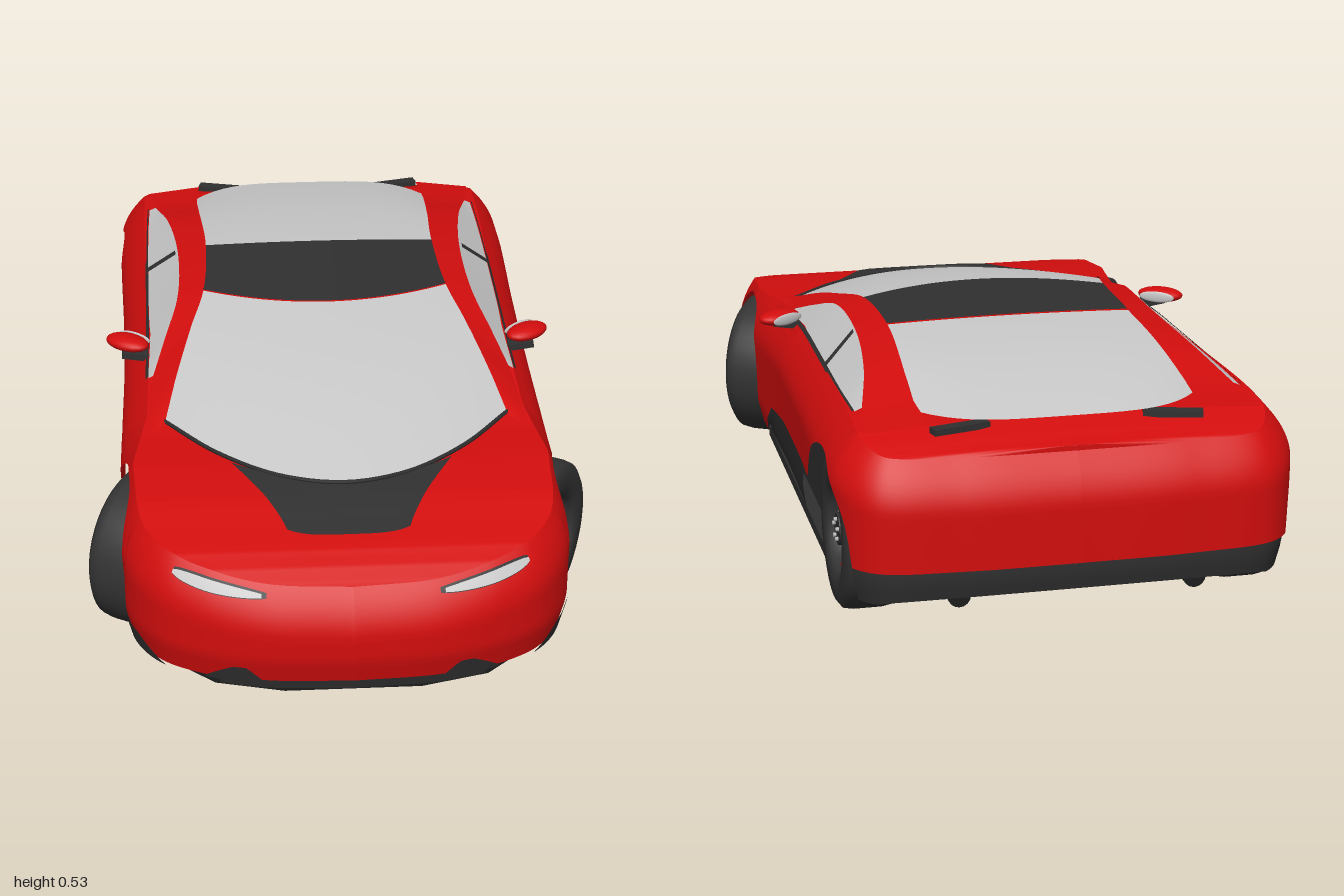
import * as THREE from 'three';

const mat = (name, color) => new THREE.MeshStandardMaterial({ name, color, side: THREE.DoubleSide });
const V = (p) => new THREE.Vector3(...p);
const clamp = (v) => Math.min(1, Math.max(0, v));

// Piecewise linear lookup; keys ascend
function table(t, z) {
  if (z <= t[0][0]) return t[0][1];
  for (let i = 1; i < t.length; i++) {
    if (z <= t[i][0]) {
      const k = (z - t[i - 1][0]) / (t[i][0] - t[i - 1][0]);
      return t[i - 1][1] + k * (t[i][1] - t[i - 1][1]);
    }
  }
  return t[t.length - 1][1];
}

// Surface from a function of two grid indices
function grid(nu, nv, fn, mirror = false) {
  const pos = [], idx = [];
  for (let i = 0; i <= nu; i++) for (let j = 0; j <= nv; j++) {
    const p = fn(i, j);
    pos.push(mirror ? -p[0] : p[0], p[1], p[2]);
  }
  for (let i = 0; i < nu; i++) for (let j = 0; j < nv; j++) {
    const a = i * (nv + 1) + j, b = a + nv + 1;
    if (mirror) idx.push(a, b + 1, b, a, a + 1, b + 1);
    else idx.push(a, b, b + 1, a, b + 1, a + 1);
  }
  const g = new THREE.BufferGeometry();
  g.setAttribute('position', new THREE.Float32BufferAttribute(pos, 3));
  g.setIndex(idx);
  g.computeVertexNormals();
  return g;
}

// Half outline of the body seen from above, rear centre to front centre
const plan = new THREE.CatmullRomCurve3([[0, -1], [0.25, -0.995], [0.44, -0.965], [0.505, -0.87], [0.515, -0.7],
  [0.505, -0.3], [0.5, 0], [0.505, 0.4], [0.505, 0.6], [0.49, 0.78], [0.43, 0.88], [0.34, 0.94], [0.2, 0.985], [0, 1]]
  .map(([x, z]) => new THREE.Vector3(x, 0, z)), false, 'centripetal');
const COLS = 260;
const columns = plan.getSpacedPoints(COLS).map((p, i) => {
  const t = plan.getTangentAt(i / COLS);
  return { x: p.x, z: p.z, nx: t.z, nz: -t.x };
});

const shoulder = (z) => table([[-1, 0.4], [-0.95, 0.41], [-0.85, 0.435], [-0.72, 0.445], [-0.3, 0.44], [0, 0.437], [0.17, 0.422],
  [0.3, 0.41], [0.45, 0.397], [0.57, 0.392], [0.7, 0.38], [0.8, 0.36], [0.9, 0.342], [0.95, 0.325], [1, 0.3]], z);
const tuck = (z) => table([[-1, 0.05], [-0.8, 0.065], [0.35, 0.065], [0.55, 0.035], [1, 0.05]], z);

// Point on the body side at height y, pushed out by off
function skin(c, y, off = 0) {
  const k = clamp(1 - (shoulder(c.z) - y) / 0.11);
  const d = off - tuck(c.z) * k ** 1.8 - 0.02 * clamp((0.14 - y) / 0.08);
  return [Math.max(0, c.x + c.nx * d), y, c.z + c.nz * d];
}

// Bottom edge of the red shell, with both wheel arches
function shellBottom(z) {
  const f = z - 0.57, r = z + 0.718;
  if (Math.abs(f) < 0.193) return 0.185 + Math.sqrt(0.193 ** 2 - f * f) * 0.97;
  if (Math.abs(r) < 0.198) return Math.max(0.185 + Math.sqrt(0.198 ** 2 - r * r) * 0.93, z > -0.6 ? 0.235 : 0);
  if (z < -0.9) return 0.165;
  if (z > 0.7) return 0.075;
  return table([[-0.41, 0.235], [-0.07, 0.22], [0.14, 0.19], [0.3, 0.08]], z);
}

export function createModel() {
  const car = new THREE.Group();
  car.name = 'sportsCar';
  const red = mat('red paint', 0xd30d0d), glass = mat('pale glass', 0xc9c9c9), dark = mat('dark trim', 0x303030);
  const black = mat('underbody black', 0x1d1d1d), rubber = mat('tyre rubber', 0x333333), silver = mat('silver metal', 0xb4b4b4);

  const add = (name, geo, m, parent = car) => {
    const mesh = new THREE.Mesh(geo, m);
    mesh.name = name;
    parent.add(mesh);
    return mesh;
  };
  const both = (name, nu, nv, fn, m) => {
    add(name + 'Left', grid(nu, nv, fn), m);
    add(name + 'Right', grid(nu, nv, fn, true), m);
  };
  // Band of body side between two heights over a range of z
  const band = (name, m, z0, z1, low, high, off, rows = 2) => {
    const cs = columns.filter((c) => c.z >= z0 && c.z <= z1);
    both(name, cs.length - 1, rows, (i, j) => {
      const a = high(cs[i].z), b = Math.min(a, low(cs[i].z));
      return skin(cs[i], a + (b - a) * j / rows, off);
    }, m);
  };
  // Ruled strip between two smooth curves
  const strip = (name, m, A, B, n = 40, rows = 4) => {
    const a = new THREE.CatmullRomCurve3(A.map(V)), b = new THREE.CatmullRomCurve3(B.map(V));
    both(name, n, rows, (i, j) => a.getPoint(i / n).lerp(b.getPoint(i / n), j / rows).toArray(), m);
  };

  // Red shell: sides, nose and tail in one band, then bonnet and deck
  band('bodySide', red, -2, 2, shellBottom, shoulder, 0, 16);
  const tops = columns.map((c) => skin(c, shoulder(c.z)));
  const crown = (z) => 0.012 * clamp((-z - 0.75) / 0.1);
  add('bodyTop', grid(COLS, 16, (i, j) => {
    const u = j / 8 - 1, [x, y, z] = tops[i];
    return [x * u, y + crown(z) * (1 - u * u), z];
  }), red);
  const topTable = tops.map((p) => [p[2], p[1]]);
  const topY = (z) => table(topTable, z);

  // Dark lower trim
  band('doorLowerPanel', dark, -0.41, 0.31, (z) => table([[-0.41, 0.235], [-0.3, 0.08], [0.3, 0.075]], z), shellBottom, -0.008);
  band('rearBumper', dark, -2, -0.905, (z) => table([[-1, 0.1], [-0.96, 0.085]], z), () => 0.168, -0.01, 4);
  band('frontCornerIntake', dark, 0.765, 0.895, () => 0.068, (z) => table([[0.77, 0.135], [0.83, 0.12], [0.89, 0.07]], z), 0.004);
  band('frontFin', dark, 0.945, 0.986, () => 0.072, (z) => table([[0.945, 0.075], [0.97, 0.118], [0.978, 0.118], [0.986, 0.08]], z), 0.005);
  band('frontLip', dark, 0.955, 2, () => 0.06, () => 0.083, 0.002);
  // Slim headlights
  const lampMid = (z) => table([[0.905, 0.316], [0.985, 0.288]], z);
  const lampHalf = (z) => 0.011 * Math.sqrt(clamp(1 - ((z - 0.945) / 0.042) ** 2));
  band('headlightSurround', dark, 0.9, 0.988, (z) => lampMid(z) - lampHalf(z) - 0.003, (z) => lampMid(z) + lampHalf(z) + 0.003, 0.003);
  band('headlight', glass, 0.903, 0.986, (z) => lampMid(z) - lampHalf(z), (z) => lampMid(z) + lampHalf(z), 0.006);

  // Bonnet vent panel
  add('bonnetPanel', grid(24, 12, (i, j) => {
    const u = i / 12 - 1, v = j / 12;
    const z = 0.825 - 0.02 * u ** 4 + v * (-0.185 - 0.05 * u * u);
    return [u * (0.135 + 0.115 * v ** 1.2), topY(z) + 0.005, z];
  }), dark);

  // Windscreen, roof and rear window
  const between = (a, b, v, u) => a.map((k, n) => k + (b[n] - k) * v + (n === 1 ? 0.012 * Math.sin(Math.PI * v) : 0));
  const roofFront = (u) => [u * 0.3, 0.522 - 0.005 * u * u, 0.02 - 0.09 * u * u];
  const roofRear = (u) => [u * 0.29, 0.525 - 0.005 * u * u, -0.32];
  add('windscreen', grid(30, 16, (i, j) => {
    const u = i / 15 - 1;
    return between([u * 0.4, 0.391 + 0.013 * u * u, 0.66 - 0.28 * u * u], roofFront(u), j / 16);
  }), glass);
  add('roof', grid(20, 8, (i, j) => {
    const u = i / 10 - 1, a = roofFront(u), b = roofRear(u);
    return a.map((k, n) => k + (b[n] - k) * j / 8 + (n === 1 ? 0.003 : 0));
  }), dark);
  add('rearWindow', grid(24, 14, (i, j) => {
    const u = i / 12 - 1;
    return between(roofRear(u), [u * 0.31, 0.452, -0.87 + 0.1 * u ** 4], j / 14);
  }), glass);

  // Roof rails and side windows
  const railOuter = [[0.44, 0.398, 0.45], [0.425, 0.427, 0.2], [0.395, 0.467, 0.08], [0.365, 0.502, -0.05],
    [0.36, 0.507, -0.3], [0.385, 0.487, -0.55], [0.42, 0.452, -0.72], [0.44, 0.436, -0.85]];
  const railInner = [[0.4, 0.403, 0.4], [0.36, 0.464, 0.2], [0.333, 0.492, 0.08], [0.3, 0.519, -0.06],
    [0.289, 0.523, -0.32], [0.3, 0.501, -0.545], [0.308, 0.466, -0.7], [0.3, 0.449, -0.86]];
  const belt = [[0.437, 0.42, 0.2], [0.436, 0.428, 0.08], [0.436, 0.436, -0.05], [0.438, 0.44, -0.3],
    [0.44, 0.442, -0.55], [0.438, 0.444, -0.72]];
  strip('roofRail', red, railOuter, railInner);
  strip('sideWindow', glass, belt, railOuter.slice(1, 7));
  strip('doorPillar', dark, [[0.443, 0.44, -0.34], [0.443, 0.44, -0.365]], [[0.366, 0.509, -0.3], [0.368, 0.508, -0.325]], 2);
  strip('windowSill', dark, belt.map(([x, y, z]) => [x + 0.007, y - 0.003, z]), belt.map(([x, y, z]) => [x, y + 0.005, z]), 40, 1);
  // Trim line around the windscreen foot
  add('windscreenSeal', new THREE.TubeGeometry(new THREE.CatmullRomCurve3([-1, -0.7, -0.35, 0, 0.35, 0.7, 1].map((u) =>
    new THREE.Vector3(u * 0.4, 0.392 + 0.013 * u * u, 0.663 - 0.28 * u * u))), 40, 0.005, 5), dark);

  // Mirrors, deck vents and exhausts
  for (const s of [1, -1]) {
    const side = s > 0 ? 'Left' : 'Right';
    const mirror = new THREE.Group();
    mirror.name = 'mirror' + side;
    mirror.position.set(s * 0.487, 0.447, 0.06);
    mirror.rotation.y = s * 0.6;
    car.add(mirror);
    add('mirrorShell', new THREE.SphereGeometry(1, 20, 12), red, mirror).scale.set(0.058, 0.018, 0.035);
    const face = add('mirrorGlass', new THREE.SphereGeometry(1, 16, 10), glass, mirror);
    face.scale.set(0.046, 0.014, 0.004);
    face.position.z = -0.031;
    const stem = add('mirrorStem' + side, new THREE.BoxGeometry(0.07, 0.016, 0.04), dark);
    stem.position.set(s * 0.465, 0.425, 0.08);
    stem.rotation.z = s * 0.15;
    const vent = add('deckVent' + side, new THREE.BoxGeometry(0.13, 0.014, 0.028), dark);
    vent.position.set(s * 0.235, 0.441, -0.865);
    vent.rotation.y = s * 0.25;
    const pipe = add('exhaust' + side, new THREE.CylinderGeometry(0.025, 0.025, 0.07, 16), black);
    pipe.rotation.x = Math.PI / 2;
    pipe.position.set(s * 0.26, 0.1, -0.935);
  }

  // Floor with front wheel cut-outs, and rising rear tray
  const half = [[0.46, -0.57], [0.475, 0.36], [0.28, 0.4], [0.28, 0.76], [0.42, 0.82], [0.3, 0.93], [0.15, 0.97]];
  const outline = [...half, ...half.map(([x, z]) => [-x, z]).reverse()].map(([x, z]) => new THREE.Vector2(x, z));
  const floor = add('floor', new THREE.ExtrudeGeometry(new THREE.Shape(outline), { depth: 0.02, bevelEnabled: false }), black);
  floor.rotation.x = Math.PI / 2;
  floor.position.y = 0.07;
  const tray = [[-0.55, 0.06], [-0.7, 0.09], [-0.88, 0.13], [-0.97, 0.13]];
  add('rearTray', grid(3, 1, (i, j) => [(j * 2 - 1) * (i < 3 ? 0.33 : 0.4), tray[i][1], tray[i][0]]), black);
  for (const s of [1, -1]) {
    const sill = add(s > 0 ? 'sillLeft' : 'sillRight', new THREE.BoxGeometry(0.03, 0.026, 0.92), dark);
    sill.position.set(s * 0.465, 0.062, -0.11);
  }

  // Wheels: axle along x, outer face toward local +x
  const tyreProfile = [[0.095, -0.055], [0.125, -0.065], [0.16, -0.064], [0.176, -0.052], [0.18, -0.03], [0.18, 0.03],
    [0.176, 0.052], [0.16, 0.064], [0.125, 0.065], [0.098, 0.055], [0.095, 0.02]].map((p) => new THREE.Vector2(...p));
  const wheel = (name, s, x, z, steer, r, caliperAngle) => {
    const g = new THREE.Group();
    g.name = name;
    g.position.set(s * x, r, z);
    g.rotation.y = steer + (s > 0 ? 0 : Math.PI);
    g.scale.setScalar(r / 0.18);
    car.add(g);
    const turned = (part, geo, m, px) => {
      const mesh = add(part, geo, m, g);
      mesh.rotation.z = -Math.PI / 2;
      mesh.position.x = px;
      return mesh;
    };
    turned('tyre', new THREE.LatheGeometry(tyreProfile, 40), rubber, 0);
    turned('brakeDisc', new THREE.CylinderGeometry(0.094, 0.094, 0.02, 32), silver, 0.025);
    turned('hub', new THREE.CylinderGeometry(0.036, 0.04, 0.024, 20), dark, 0.042);
    turned('axle', new THREE.CylinderGeometry(0.03, 0.03, 0.14, 14), black, -0.06);
    for (let i = 0; i < 5; i++) {
      const a = i * Math.PI * 0.4;
      turned('wheelNut', new THREE.CylinderGeometry(0.005, 0.005, 0.01, 8), silver, 0.056)
        .position.set(0.056, Math.cos(a) * 0.023, Math.sin(a) * 0.023);
    }
    const caliper = add('brakeCaliper', new THREE.TorusGeometry(0.08, 0.013, 8, 14, 1.1), red, g);
    caliper.geometry.rotateZ(s > 0 ? caliperAngle : Math.PI - caliperAngle - 1.1).rotateY(Math.PI / 2);
    caliper.position.x = 0.037;
  };
  for (const s of [1, -1]) {
    const side = s > 0 ? 'Left' : 'Right';
    wheel('frontWheel' + side, s, 0.44, 0.565, -Math.PI / 6, 0.182, 0.2);
    wheel('rearWheel' + side, s, 0.425, -0.715, 0, 0.177, -1.4);
  }
  return car;
}
